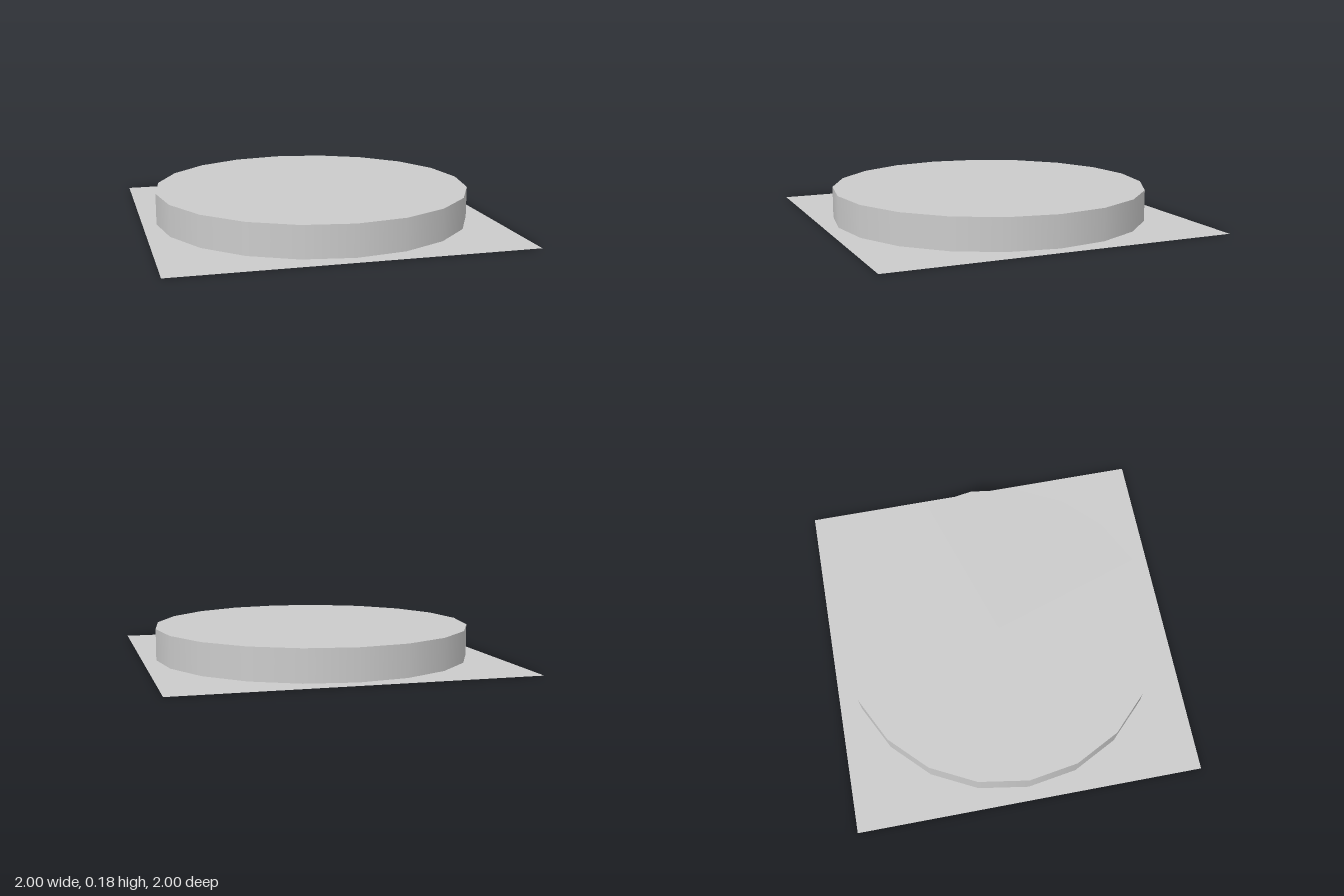
import * as THREE from 'three';

export function createModel() {
  const group = new THREE.Group();

  // Thin square sheet lying on the ground
  const base = new THREE.Mesh(
    new THREE.PlaneGeometry(2, 2).rotateX(-Math.PI / 2),
    new THREE.MeshStandardMaterial({ color: 0xcccccc, side: THREE.DoubleSide })
  );
  base.name = 'basePlate';

  // Low 20-sided disc with smooth sides, its foot just clear of the sheet
  const top = 0.182, foot = 0.001, height = top - foot;
  const disc = new THREE.Mesh(
    new THREE.CylinderGeometry(0.92, 0.92, height, 20),
    new THREE.MeshStandardMaterial({ color: 0xcccccc })
  );
  disc.name = 'disc';
  disc.position.y = foot + height / 2;

  group.add(base, disc);
  return group;
}
